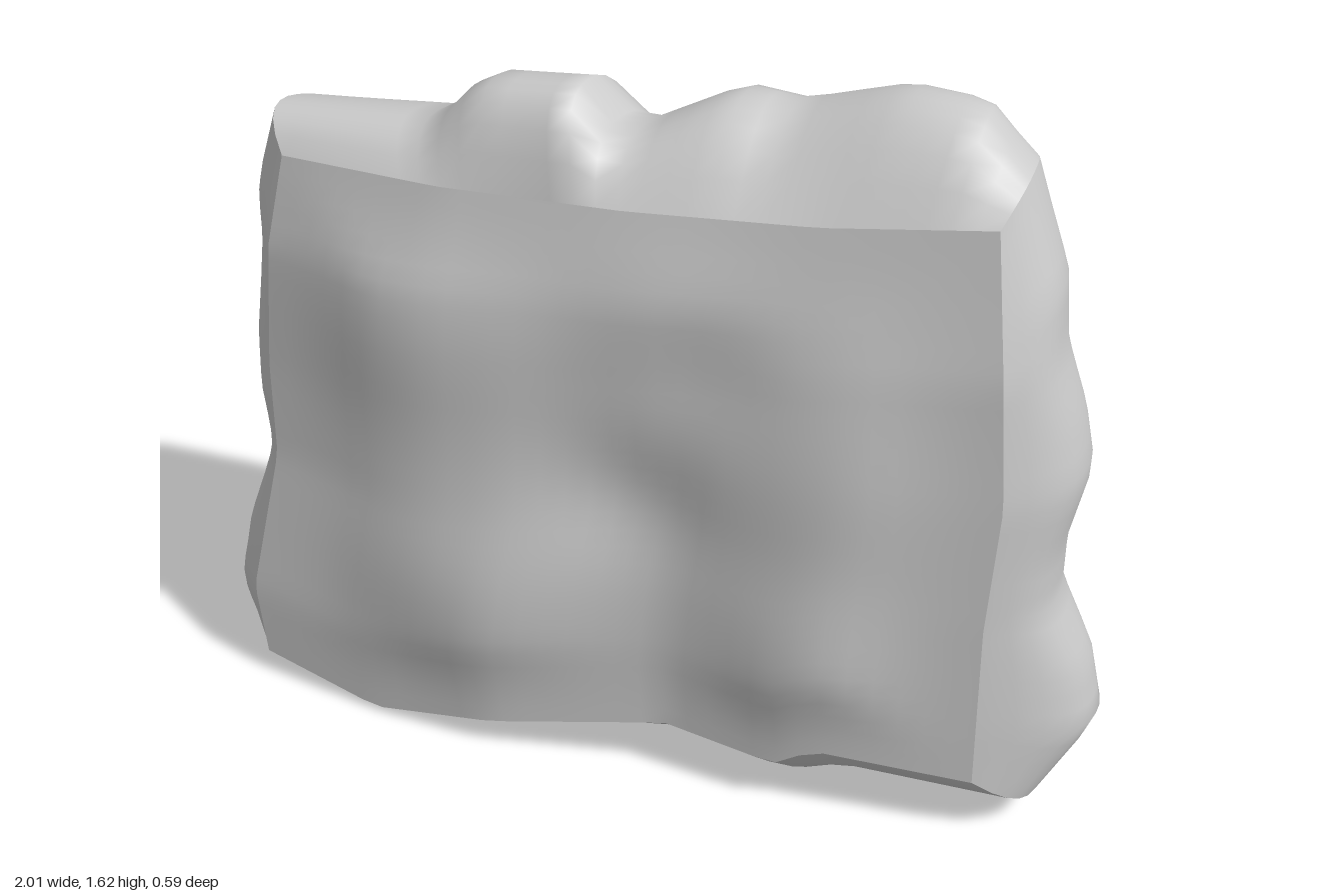
import * as THREE from 'three';

const N = 32;   // steps along every edge
const R = 12;   // steps across the rim

// Polyline sampled by position along one axis (0 = x, 1 = y), t in 0..1
function edge(axis, pts) {
  const a = pts[0][axis], b = pts[pts.length - 1][axis];
  return t => {
    const p = a + (b - a) * t;
    let i = 0;
    while (i < pts.length - 2 && pts[i + 1][axis] < p) i++;
    const f = (p - pts[i][axis]) / (pts[i + 1][axis] - pts[i][axis]);
    return new THREE.Vector3(...pts[i]).lerp(new THREE.Vector3(...pts[i + 1]), f);
  };
}

// Smooth sheet from a function of (u, v); flip reverses its facing
function patch(name, fn, nu, nv, flip, material) {
  const pos = [], idx = [];
  for (let j = 0; j <= nv; j++) {
    for (let i = 0; i <= nu; i++) pos.push(...fn(i / nu, j / nv).toArray());
  }
  for (let j = 0; j < nv; j++) {
    for (let i = 0; i < nu; i++) {
      const a = j * (nu + 1) + i, b = a + 1, c = a + nu + 1, d = c + 1;
      if (flip) idx.push(a, d, b, a, c, d);
      else idx.push(a, b, d, a, d, c);
    }
  }
  const g = new THREE.BufferGeometry();
  g.setAttribute('position', new THREE.Float32BufferAttribute(pos, 3));
  g.setIndex(idx);
  g.computeVertexNormals();
  const mesh = new THREE.Mesh(g, material);
  mesh.name = name;
  return mesh;
}

// Sheet spanning four edges, pushed along z by soft bumps [x, y, radius, height]
function face(e, bumps) {
  return (u, v) => {
    const p = e.bottom(u).multiplyScalar(1 - v)
      .addScaledVector(e.top(u), v)
      .addScaledVector(e.left(v), 1 - u)
      .addScaledVector(e.right(v), u)
      .addScaledVector(e.bottom(0), -(1 - u) * (1 - v))
      .addScaledVector(e.bottom(1), -u * (1 - v))
      .addScaledVector(e.top(0), -(1 - u) * v)
      .addScaledVector(e.top(1), -u * v);
    const fade = Math.min(1, 6 * Math.min(u, 1 - u, v, 1 - v));
    let z = 0;
    for (const [x, y, r, h] of bumps) z += h * Math.exp(-((p.x - x) ** 2 + (p.y - y) ** 2) / (r * r));
    p.z += z * fade;
    return p;
  };
}

// Rounded band from a front edge over the outline to a back edge
function rim(front, mid, back) {
  return (t, s) => {
    const a = front(t), b = back(t);
    const bulge = mid(t).sub(a.clone().add(b).multiplyScalar(0.5));
    return a.lerp(b, s).addScaledVector(bulge, 1 - Math.abs(2 * s - 1) ** 2.5);
  };
}

export function createModel() {
  const stone = new THREE.MeshStandardMaterial({ color: 0xcccccc, roughness: 0.9 });

  // Edges of the front face
  const front = {
    bottom: edge(0, [[-0.9, 0.07, 0.2], [-0.6, 0.02, 0.24], [-0.3, 0.08, 0.26], [0.1, 0.15, 0.2],
      [0.36, 0.13, 0.22], [0.45, 0.19, 0.22], [0.79, 0.17, 0.17]]),
    top: edge(0, [[-0.77, 1.36, 0.17], [-0.4, 1.37, 0.2], [0, 1.38, 0.18], [0.4, 1.41, 0.16], [0.75, 1.46, 0.14]]),
    left: edge(1, [[-0.9, 0.07, 0.2], [-0.92, 0.25, 0.2], [-0.84, 0.62, 0.18], [-0.84, 0.85, 0.18],
      [-0.81, 1.15, 0.19], [-0.77, 1.36, 0.17]]),
    right: edge(1, [[0.79, 0.17, 0.17], [0.79, 0.57, 0.18], [0.81, 0.87, 0.18], [0.79, 1.15, 0.18], [0.75, 1.46, 0.14]]),
  };
  // Outermost line around the slab
  const mid = {
    bottom: edge(0, [[-0.9, 0.06, 0], [-0.6, 0.01, 0], [-0.35, 0.07, -0.02], [-0.14, 0, -0.06], [0.1, 0.08, -0.02],
      [0.37, 0.02, -0.02], [0.5, 0.06, 0], [0.9, 0.08, 0]]),
    top: edge(0, [[-0.82, 1.42, 0], [-0.45, 1.45, 0], [-0.35, 1.56, 0.03], [-0.12, 1.59, 0.05], [-0.06, 1.47, 0],
      [0.16, 1.575, -0.05], [0.28, 1.555, -0.07], [0.5, 1.63, -0.06], [0.66, 1.625, -0.05], [0.77, 1.52, -0.03]]),
    left: edge(1, [[-0.9, 0.06, 0], [-1, 0.2, 0], [-0.97, 0.37, 0], [-0.88, 0.6, 0], [-0.91, 0.75, 0],
      [-0.9, 0.9, 0], [-0.86, 1.15, 0], [-0.87, 1.26, 0], [-0.82, 1.42, 0]]),
    right: edge(1, [[0.9, 0.08, 0], [1, 0.25, -0.05], [0.97, 0.4, -0.04], [0.9, 0.57, 0], [0.9, 0.7, 0],
      [0.935, 0.87, -0.02], [0.91, 1, -0.02], [0.865, 1.15, 0], [0.85, 1.3, -0.02], [0.77, 1.52, -0.03]]),
  };
  // Edges of the back face
  const back = {
    bottom: edge(0, [[-0.76, 0.03, -0.22], [-0.5, 0.04, -0.26], [0, 0.1, -0.24], [0.4, 0.12, -0.24], [0.8, 0.18, -0.21]]),
    top: edge(0, [[-0.7, 1.24, -0.23], [-0.3, 1.31, -0.22], [0.2, 1.39, -0.2], [0.72, 1.45, -0.19]]),
    left: edge(1, [[-0.76, 0.03, -0.22], [-0.8, 0.25, -0.22], [-0.74, 0.6, -0.2], [-0.74, 0.9, -0.22], [-0.7, 1.24, -0.23]]),
    right: edge(1, [[0.8, 0.18, -0.21], [0.82, 0.3, -0.21], [0.8, 0.6, -0.19], [0.82, 0.87, -0.2], [0.72, 1.45, -0.19]]),
  };

  const group = new THREE.Group();
  group.name = 'stoneSlab';
  group.add(
    patch('frontFace', face(front, [[-0.35, 0.42, 0.28, 0.05], [0.43, 0.4, 0.22, 0.04], [-0.5, 1.05, 0.3, 0.04],
      [0.45, 0.85, 0.3, 0.035], [0.1, 1.25, 0.2, 0.03], [0, 0.72, 0.15, -0.03], [0.2, 1.08, 0.15, -0.02]]), N, N, false, stone),
    patch('backFace', face(back, [[-0.55, 0.3, 0.25, -0.045], [0.25, 0.4, 0.25, -0.04], [0.55, 0.85, 0.25, -0.04],
      [-0.4, 0.9, 0.25, -0.04], [0.1, 1.2, 0.22, -0.04], [-0.1, 0.65, 0.15, 0.02], [0.35, 1.15, 0.12, 0.02]]), N, N, true, stone),
  );
  for (const side of ['bottom', 'top', 'left', 'right']) {
    const flip = side === 'bottom' || side === 'right';
    group.add(patch(side + 'Rim', rim(front[side], mid[side], back[side]), N, R, flip, stone));
  }
  return group;
}
